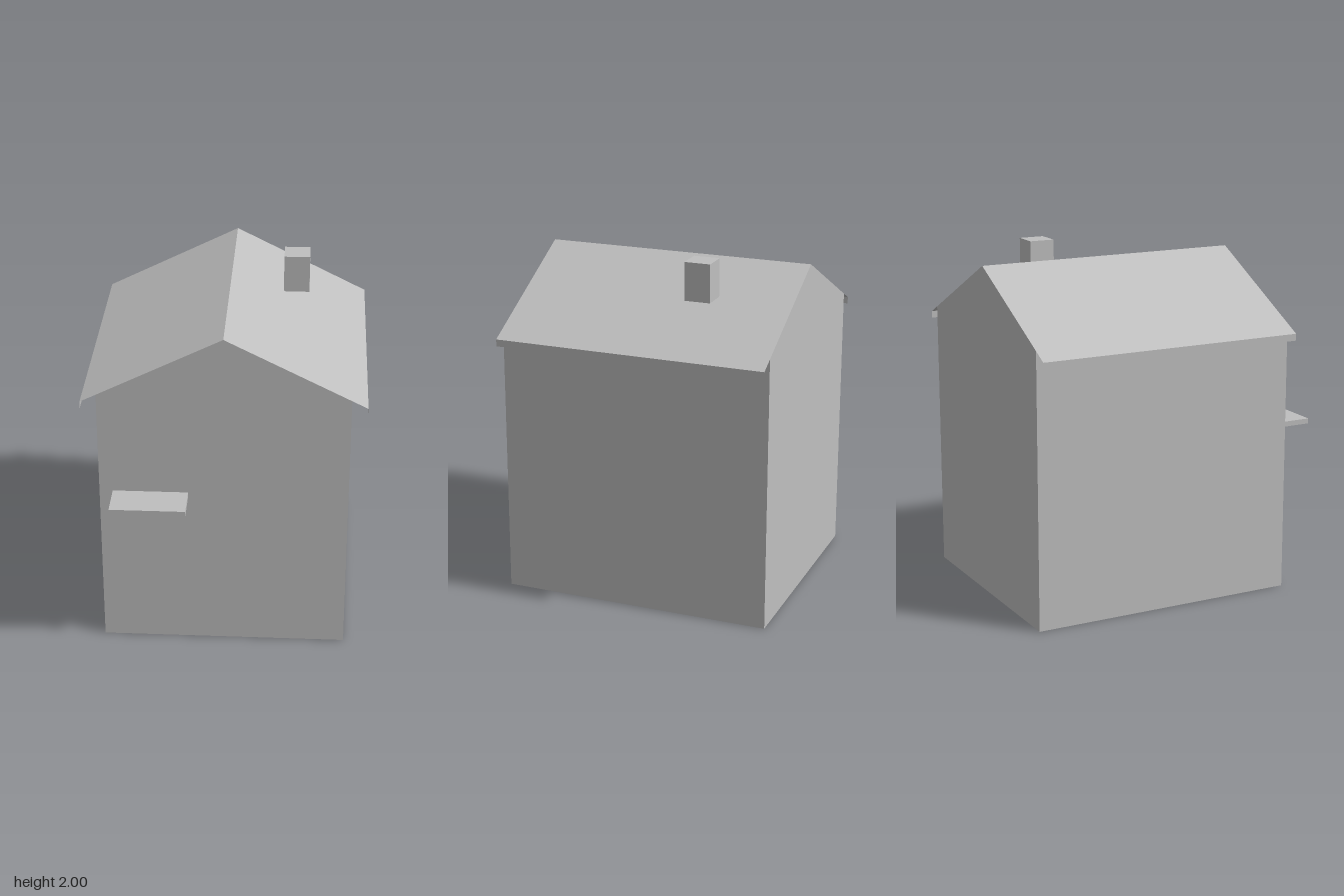
import * as THREE from 'three';

export function createModel() {
  const model = new THREE.Group();
  const grey = new THREE.MeshStandardMaterial({ color: 0xbfbfbf, side: THREE.DoubleSide, flatShading: true });
  grey.name = 'plain grey';

  const halfWidth = 0.70, eaveY = 1.585, ridgeY = 1.935;
  const zFront = 0.685, zBack = -0.895;

  const add = (name, geometry) => {
    const mesh = new THREE.Mesh(geometry, grey);
    mesh.name = name;
    model.add(mesh);
    return mesh;
  };

  // Box given by its lowest and highest corners
  const box = (name, a, b) => {
    const mesh = add(name, new THREE.BoxGeometry(b[0] - a[0], b[1] - a[1], b[2] - a[2]));
    mesh.position.set((a[0] + b[0]) / 2, (a[1] + b[1]) / 2, (a[2] + b[2]) / 2);
  };

  // Thin open sheet: an x/y profile swept from front to back, one flat quad per segment
  const sheet = (name, profile) => {
    const positions = [];
    for (let i = 0; i < profile.length - 1; i++) {
      const [ax, ay] = profile[i], [bx, by] = profile[i + 1];
      positions.push(
        ax, ay, zFront, bx, by, zFront, bx, by, zBack,
        ax, ay, zFront, bx, by, zBack, ax, ay, zBack
      );
    }
    const geometry = new THREE.BufferGeometry();
    geometry.setAttribute('position', new THREE.Float32BufferAttribute(positions, 3));
    geometry.computeVertexNormals();
    add(name, geometry);
  };

  // Gabled end walls; the house is open underneath
  const gable = new THREE.Shape([
    [-halfWidth, 0], [halfWidth, 0], [halfWidth, eaveY], [0, ridgeY], [-halfWidth, eaveY]
  ].map(([x, y]) => new THREE.Vector2(x, y)));
  add('frontWall', new THREE.ShapeGeometry(gable)).position.z = zFront;
  const back = add('backWall', new THREE.ShapeGeometry(gable));
  back.position.z = zBack;
  back.rotation.y = Math.PI;

  // Side walls
  sheet('leftWall', [[halfWidth, 0], [halfWidth, eaveY]]);
  sheet('rightWall', [[-halfWidth, eaveY], [-halfWidth, 0]]);

  // Roof: two slopes with a short vertical lip at each eave
  sheet('roof', [[0.79, 1.50], [0.79, 1.54], [0, ridgeY], [-0.79, 1.54], [-0.79, 1.50]]);

  // Chimney standing on the left slope
  box('chimney', [0.30, 1.78, -0.46], [0.45, 2.0, -0.31]);

  // Awning on the front wall
  box('awning', [-0.625, 0.95, 0.686], [-0.20, 0.98, 0.895]);

  // Recessed boxes behind the front and right walls
  box('frontRecess', [-0.52, 0.45, 0.615], [-0.31, 0.855, 0.684]);
  box('sideRecess', [-0.699, 0.62, -0.20], [-0.63, 1.02, -0.03]);

  return model;
}
